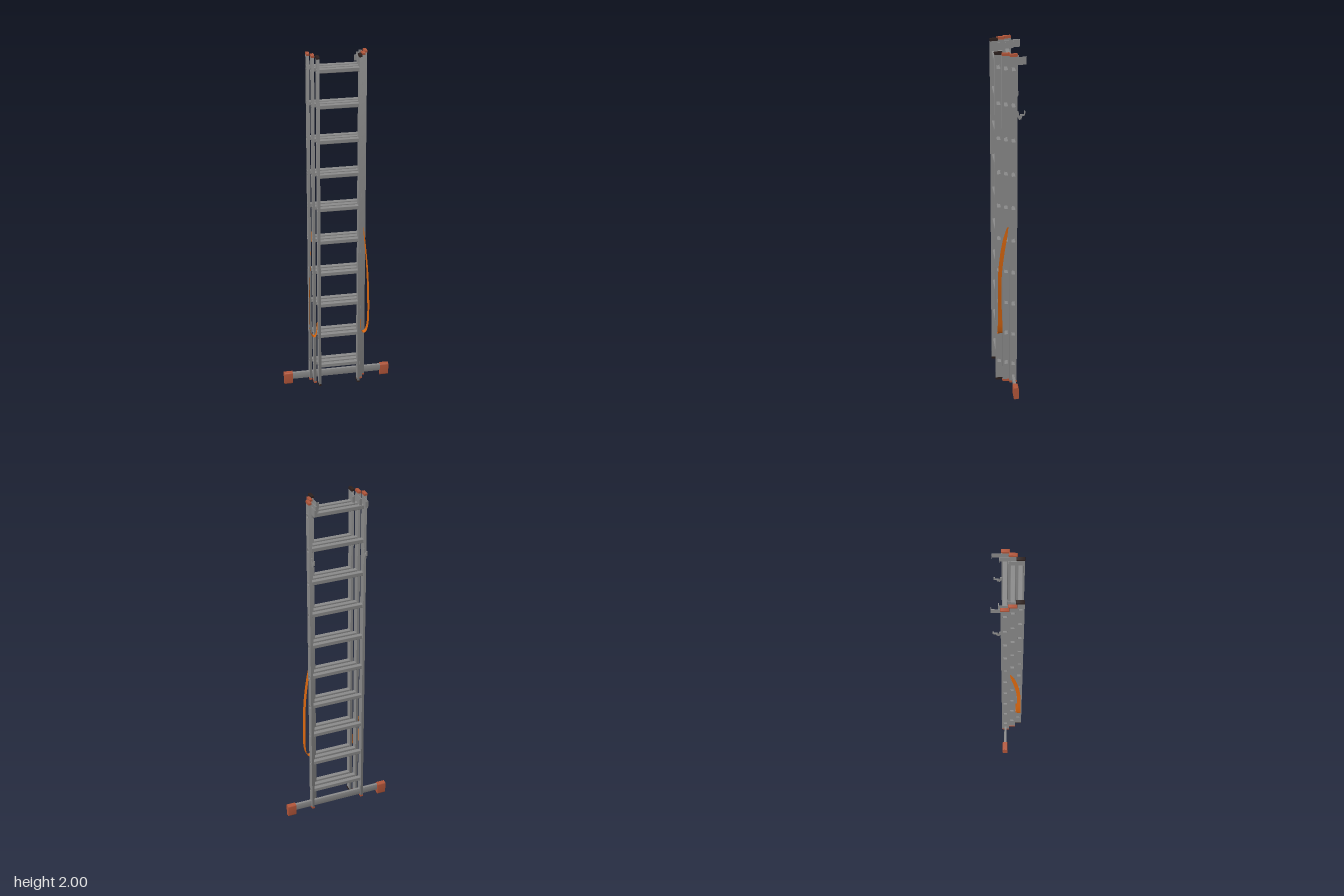
import * as THREE from 'three';
import { toCreasedNormals } from 'three/addons/utils/BufferGeometryUtils.js';

const metal = new THREE.MeshStandardMaterial({ color: 0x8a8a8a, side: THREE.DoubleSide });
metal.name = 'aluminium';
const rust = new THREE.MeshStandardMaterial({ color: 0xb3563a });
rust.name = 'redPlastic';
const dark = new THREE.MeshStandardMaterial({ color: 0x2c201e });
dark.name = 'darkPlastic';
const orange = new THREE.MeshStandardMaterial({ color: 0xd8660f, side: THREE.DoubleSide });
orange.name = 'orangeStrap';

const RUNGS = 10, FIRST = 0.145, STEP = 0.1972, RAIL_D = 0.042, RAIL_W = 0.014;

function add(parent, name, geometry, material, x = 0, y = 0, z = 0) {
  const mesh = new THREE.Mesh(geometry, material);
  mesh.name = name;
  mesh.position.set(x, y, z);
  parent.add(mesh);
  return mesh;
}

// Rounded rectangle centred on (0, cy)
function roundRect(w, h, r, cy = 0, Type = THREE.Shape) {
  const p = new Type(), x = w / 2, y = h / 2;
  p.moveTo(-x + r, cy - y);
  p.lineTo(x - r, cy - y);
  p.quadraticCurveTo(x, cy - y, x, cy - y + r);
  p.lineTo(x, cy + y - r);
  p.quadraticCurveTo(x, cy + y, x - r, cy + y);
  p.lineTo(-x + r, cy + y);
  p.quadraticCurveTo(-x, cy + y, -x, cy + y - r);
  p.lineTo(-x, cy - y + r);
  p.quadraticCurveTo(-x, cy - y, -x + r, cy - y);
  return p;
}

// Extrude a side-view shape along x, centred
function alongX(shape, length) {
  const g = new THREE.ExtrudeGeometry(shape, { depth: length, bevelEnabled: false, curveSegments: 4 });
  g.translate(0, 0, -length / 2);
  g.rotateY(Math.PI / 2);
  return toCreasedNormals(g, 0.7);
}

// Rail plate pierced by the hollow rungs
function railGeometry() {
  const shape = roundRect(RAIL_D, 1.97, 0.003, 1.005);
  for (let i = 0; i < RUNGS; i++) shape.holes.push(roundRect(0.021, 0.021, 0.004, FIRST + i * STEP, THREE.Path));
  return alongX(shape, RAIL_W);
}

function rungGeometry(length) {
  const shape = roundRect(0.025, 0.025, 0.007);
  shape.holes.push(roundRect(0.021, 0.021, 0.004, 0, THREE.Path));
  return alongX(shape, length);
}

// One ladder section: two rails, caps and rungs
function section(name, x, z, capMaterial) {
  const g = new THREE.Group();
  g.name = name;
  const rail = railGeometry(), rung = rungGeometry(2 * x + RAIL_W + 0.003);
  const cap = alongX(roundRect(RAIL_D + 0.002, 0.014, 0.005), RAIL_W + 0.002);
  for (const s of [-1, 1]) {
    add(g, 'rail', rail, metal, s * x, 0, 0);
    add(g, 'topCap', cap, capMaterial, s * x, 1.993, 0);
    add(g, 'bottomCap', cap, capMaterial, s * x, 0.024, 0);
  }
  for (let i = 0; i < RUNGS; i++) add(g, 'rung', rung, metal, 0, FIRST + i * STEP, 0);
  g.position.z = z;
  return g;
}

// Guide bracket: plate reaching backwards with a lip turned inwards
function bracket(name, s, x, zFront, zBack) {
  const g = new THREE.Group();
  g.name = name;
  const len = zFront - zBack;
  add(g, 'plate', new THREE.BoxGeometry(0.003, 0.042, len), metal, s * x, 1.958, (zFront + zBack) / 2);
  add(g, 'lip', new THREE.BoxGeometry(0.014, 0.034, 0.003), metal, s * (x - 0.006), 1.962, zBack + 0.0015);
  return g;
}

// J-shaped catch behind the rear rail
function catchGeometry() {
  const p = new THREE.Shape();
  [[0.03, 1.685], [0.03, 1.665], [0.045, 1.635], [0.058, 1.64], [0.06, 1.655], [0.077, 1.66],
    [0.077, 1.685], [0.07, 1.685], [0.07, 1.667], [0.052, 1.667], [0.046, 1.655], [0.042, 1.685]]
    .forEach(([x, y], i) => (i ? p.lineTo(x, y) : p.moveTo(x, y)));
  return alongX(p, 0.006);
}

// Hanging ribbon: centre line x, y, z with the half width across it (dx, dz)
function strapGeometry(s) {
  const rows = [
    [0.145, 1.01, 0.014, 0.001, 0.004], [0.150, 0.94, 0.03, 0.001, 0.011], [0.156, 0.85, 0.046, 0.002, 0.012],
    [0.164, 0.72, 0.06, 0.003, 0.011], [0.169, 0.58, 0.062, 0.004, 0.010], [0.171, 0.47, 0.061, 0.003, 0.012],
    [0.167, 0.39, 0.06, 0.002, 0.014], [0.155, 0.35, 0.06, 0.001, 0.015], [0.14, 0.342, 0.06, 0, 0.014],
    [0.129, 0.365, 0.058, 0, 0.012], [0.124, 0.43, 0.056, 0, 0.011]];
  const mid = new THREE.CatmullRomCurve3(rows.map(r => new THREE.Vector3(s * r[0], r[1], r[2])));
  const half = new THREE.CatmullRomCurve3(rows.map(r => new THREE.Vector3(s * r[3], 0, r[4])));
  const pos = [], idx = [], n = 60;
  for (let i = 0; i <= n; i++) {
    const c = mid.getPoint(i / n), h = half.getPoint(i / n);
    pos.push(...c.clone().sub(h).toArray(), ...c.add(h).toArray());
    if (i < n) idx.push(2 * i, 2 * i + 1, 2 * i + 2, 2 * i + 1, 2 * i + 3, 2 * i + 2);
  }
  const g = new THREE.BufferGeometry();
  g.setAttribute('position', new THREE.Float32BufferAttribute(pos, 3));
  g.setIndex(idx);
  g.computeVertexNormals();
  return g;
}

export function createModel() {
  const model = new THREE.Group();
  model.name = 'extensionLadder';

  model.add(section('rearSection', 0.154, -0.015, rust));
  model.add(section('middleSection', 0.135, 0.023, rust));
  model.add(section('frontSection', 0.113, 0.06, dark));

  // Stabiliser bar with feet
  add(model, 'stabiliserBar', alongX(roundRect(0.015, 0.042, 0.003), 0.56), metal, 0, 0.049, -0.015);
  const foot = alongX(roundRect(0.03, 0.074, 0.009), 0.05);

  for (const s of [-1, 1]) {
    add(model, 'foot', foot, rust, s * 0.285, 0.037, -0.016);
    model.add(bracket('rearBracket', s, 0.146, -0.03, -0.083));
    model.add(bracket('middleBracket', s, 0.126, 0.005, -0.047));
    model.add(bracket('frontBracket', s, 0.106, 0.042, -0.002));
    add(model, 'catch', catchGeometry(), metal, s * 0.148, 0, 0);
    add(model, 'strap', strapGeometry(s), orange);
  }
  return model;
}
